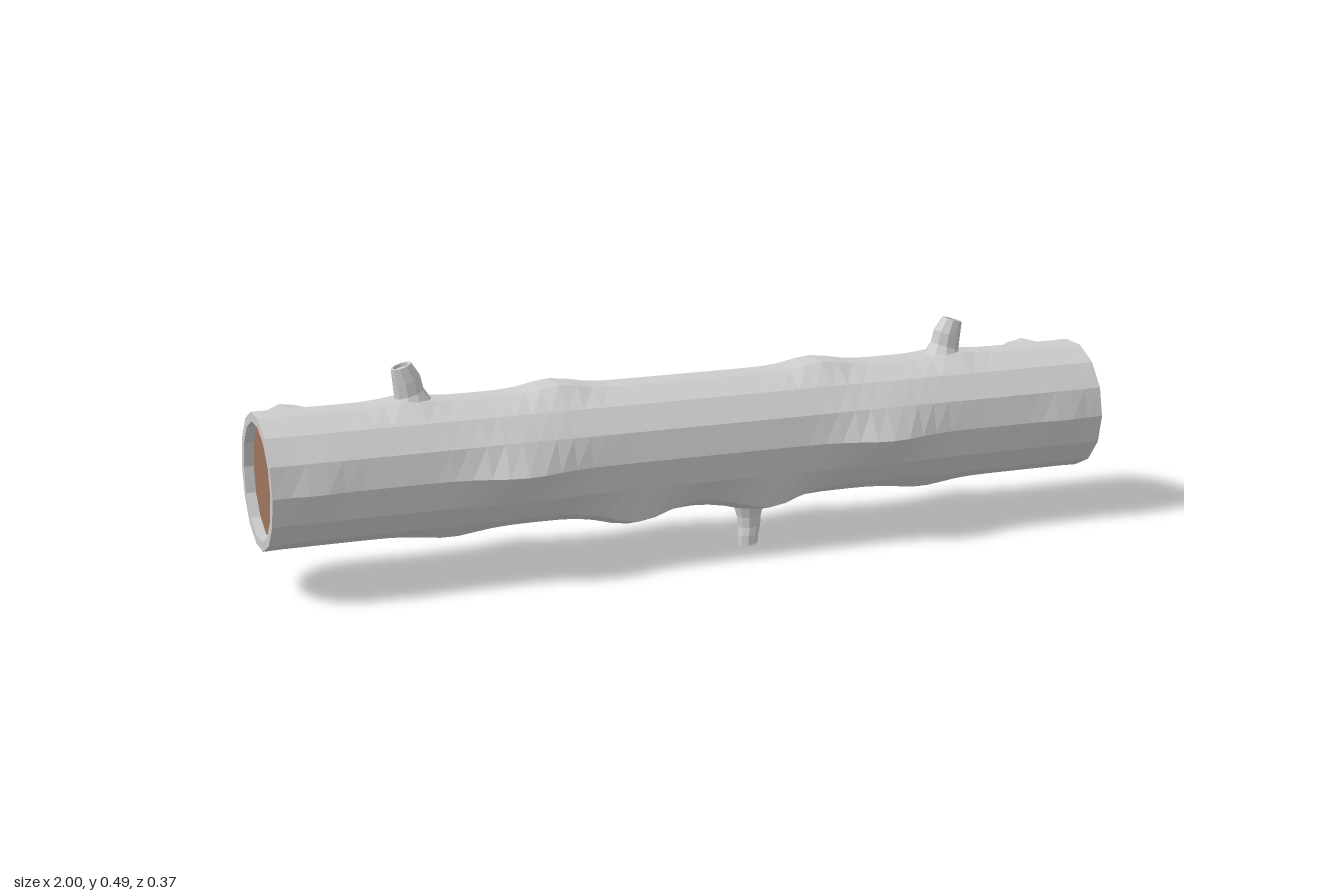
import * as THREE from 'three';

const SIDES = 14, CY = 0.257, CZ = -0.007, R = 0.152;

// Swellings on the trunk, mirrored in x: [x, angle in degrees from +z towards +y, height, x width, angle width]
const BUMPS = [
  [0.44, 0, 0.036, 0.10, 20],
  [0.32, 90, 0.025, 0.07, 20],
  [0.66, 90, 0.018, 0.06, 16],
  [0.57, 180, 0.030, 0.09, 20],
  [0.18, 186, 0.028, 0.09, 20],
  [0.91, 130, 0.030, 0.05, 13],
  [0.16, -90, 0.038, 0.08, 20],
  [0.58, -90, 0.020, 0.08, 20],
  [0.16, -50, 0.036, 0.09, 14],
  [0.42, -128, 0.020, 0.09, 16],
  [0.90, 0, 0.007, 0.05, 18],
];

function trunkRadius(x, deg) {
  let r = R;
  for (const [bx, ba, h, wx, wa] of BUMPS) {
    const dx = (Math.abs(x) - bx) / wx;
    const da = ((((deg - ba + 180) % 360) + 360) % 360 - 180) / wa;
    r += h * Math.exp(-dx * dx - da * da);
  }
  return r;
}

// Skin a list of closed rings of points
function loft(rings) {
  const n = rings[0].length, pos = [], idx = [];
  rings.forEach(ring => ring.forEach(p => pos.push(...p)));
  for (let i = 0; i < rings.length - 1; i++) {
    for (let j = 0; j < n; j++) {
      const k = (j + 1) % n;
      const a = i * n + j, b = (i + 1) * n + j, c = (i + 1) * n + k, d = i * n + k;
      idx.push(a, b, c, a, c, d);
    }
  }
  const g = new THREE.BufferGeometry();
  g.setAttribute('position', new THREE.Float32BufferAttribute(pos, 3));
  g.setIndex(idx);
  const flat = g.toNonIndexed();
  flat.computeVertexNormals();
  return flat;
}

// Ring across the trunk at x
function trunkRing(x, radius) {
  return Array.from({ length: SIDES }, (_, j) => {
    const deg = j * 360 / SIDES, t = THREE.MathUtils.degToRad(deg);
    const r = radius(x, deg);
    return [x, CY + r * Math.sin(t), CZ + r * Math.cos(t)];
  });
}

// Ring across a twig; dir is +1 growing up, -1 growing down, slope tilts the ring
function twigRing([x, y, z, r], dir, slope) {
  return Array.from({ length: 10 }, (_, j) => {
    const t = dir * j * Math.PI / 5, dx = r * Math.cos(t);
    return [x + dx, y - slope * dx, z + r * Math.sin(t)];
  });
}

export function createModel() {
  const model = new THREE.Group();
  const bark = new THREE.MeshStandardMaterial({ color: 0xcccccc });
  bark.name = 'bark';
  const wood = new THREE.MeshStandardMaterial({ color: 0x9e745d });
  wood.name = 'cutWood';

  const add = (name, geometry, material) => {
    const mesh = new THREE.Mesh(geometry, material);
    mesh.name = name;
    model.add(mesh);
    return mesh;
  };

  // Trunk with a rim and a shallow recess at each end
  const inner = () => 0.132;
  const rings = [trunkRing(-0.975, inner), trunkRing(-1, inner)];
  const STEPS = 50;
  for (let i = 0; i <= STEPS; i++) {
    rings.push(trunkRing(-1 + 2 * i / STEPS, i % STEPS ? trunkRadius : () => R + 0.001));
  }
  rings.push(trunkRing(1, inner), trunkRing(0.975, inner));
  add('trunk', loft(rings), bark);

  // Cut wood discs inside the ends
  for (const s of [-1, 1]) {
    const disc = add(s > 0 ? 'leftCut' : 'rightCut', new THREE.CircleGeometry(0.132, SIDES), wood);
    disc.rotation.y = s * Math.PI / 2;
    disc.position.set(s * 0.978, CY, CZ);
  }

  // Twig stubs: tapering tubes with a hollow tip closed by a cap
  function twig(name, path, dir, slope, capMaterial) {
    const [x, y, z, r] = path[path.length - 1];
    const lip = [x, y, z, r * 0.78], sunk = [x, y - dir * 0.008, z, r * 0.78];
    const tube = [...path, lip, sunk].map(p => twigRing(p, dir, slope));
    add(name, loft(tube), bark);
    const centre = [sunk[0], sunk[1], z, 0.0001];
    add(name + 'Cut', loft([sunk, centre].map(p => twigRing(p, dir, slope))), capMaterial);
  }
  for (const s of [-1, 1]) {
    twig(s > 0 ? 'leftTwig' : 'rightTwig', [
      [s * 0.652, 0.39, CZ, 0.050],
      [s * 0.655, 0.425, CZ, 0.033],
      [s * 0.660, 0.455, CZ, 0.031],
      [s * 0.672, 0.488, CZ + 0.002, 0.023],
    ], 1, s * 0.3, s > 0 ? wood : bark);
  }
  twig('lowerTwig', [
    [0.145, 0.12, 0.015, 0.045],
    [0.145, 0.07, 0.018, 0.029],
    [0.145, 0.045, 0.019, 0.027],
    [0.141, 0.025, 0.023, 0.025],
    [0.140, 0.003, 0.024, 0.024],
  ], -1, -0.1, bark);

  return model;
}
